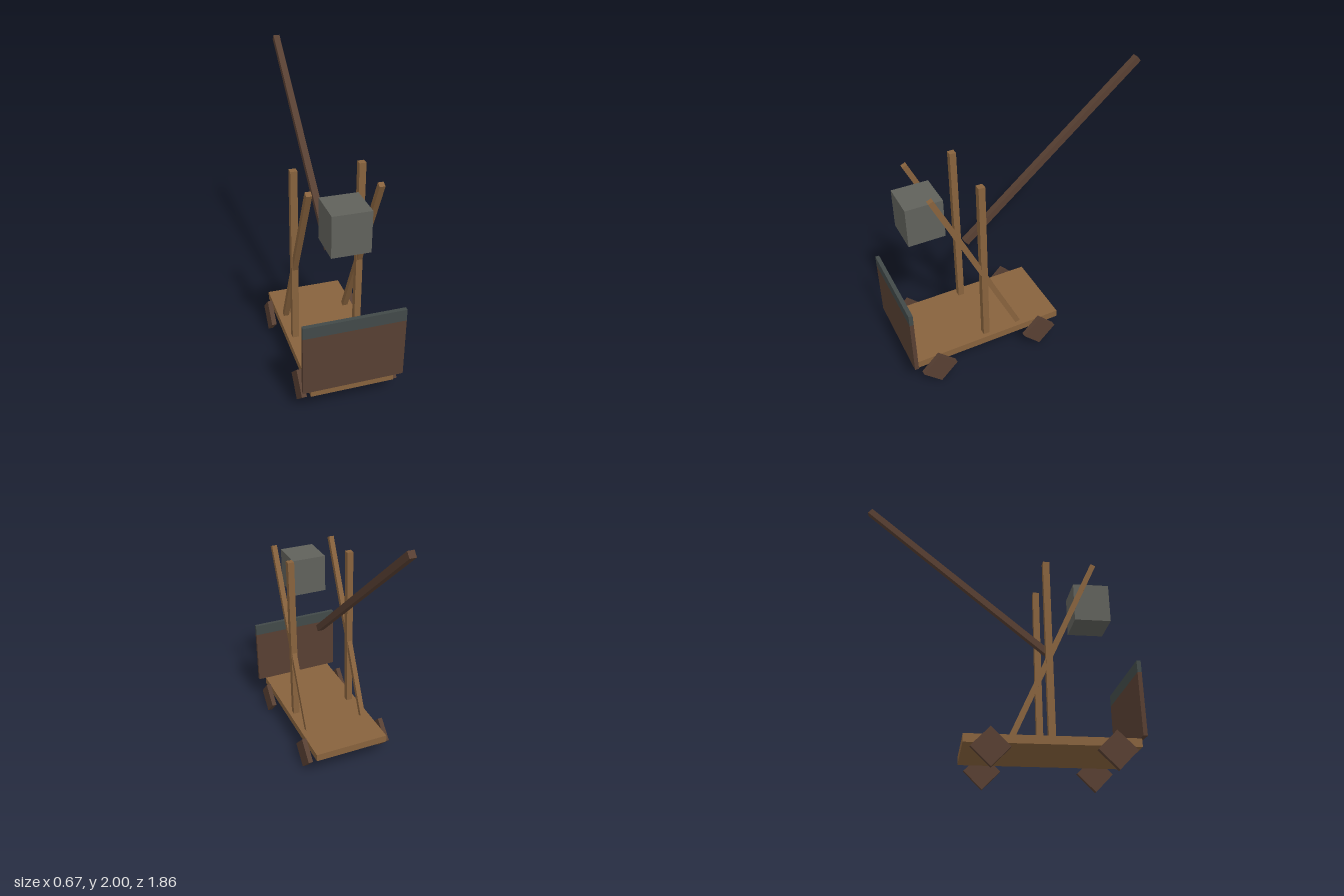
import * as THREE from 'three';

const mat = (name, color) => {
  const m = new THREE.MeshStandardMaterial({ color });
  m.name = name;
  return m;
};

export function createModel() {
  const wood = mat('wood', 0x87623d);
  const darkWood = mat('dark wood', 0x573f32);
  const stone = mat('stone', 0x60615b);
  const iron = mat('iron', 0x414948);

  const model = new THREE.Group();
  model.name = 'siegeEngine';

  // Box given by its size and centre, tilted about x
  const box = (name, material, [w, h, d], [x, y, z], tilt = 0) => {
    const mesh = new THREE.Mesh(new THREE.BoxGeometry(w, h, d), material);
    mesh.name = name;
    mesh.position.set(x, y, z);
    mesh.rotation.x = tilt;
    model.add(mesh);
  };

  const mid = 0.348; // centre of the deck along z

  box('deck', wood, [0.56, 0.055, 1.125], [0, 0.187, mid]);

  // Front shield with an iron band along the top
  box('shield', darkWood, [0.674, 0.423, 0.028], [0, 0.4275, 0.916]);
  box('shieldBand', iron, [0.674, 0.081, 0.028], [0, 0.6795, 0.916]);

  // Uprights and slanted braces, one pair each side
  for (const side of [-1, 1]) {
    const label = side > 0 ? 'left' : 'right';
    box(label + 'Upright', wood, [0.046, 1.27, 0.046], [side * 0.226, 0.848, mid]);
    box(label + 'Brace', wood, [0.037, 1.394, 0.037], [side * 0.226, 0.847, 0.388],
      THREE.MathUtils.degToRad(25));

    // Square wheels standing on a corner
    for (const [end, dz] of [['Front', 0.394], ['Back', -0.394]]) {
      const wheel = new THREE.Mesh(new THREE.CylinderGeometry(0.126, 0.126, 0.034, 4), darkWood);
      wheel.geometry = wheel.geometry.toNonIndexed();
      wheel.geometry.computeVertexNormals();
      wheel.name = label + end + 'Wheel';
      wheel.rotation.z = Math.PI / 2;
      wheel.position.set(side * 0.31, 0.126, mid + dz);
      model.add(wheel);
    }
  }

  // Throwing arm and counterweight
  box('throwingArm', darkWood, [0.045, 0.045, 1.69], [0, 1.44, -0.271],
    THREE.MathUtils.degToRad(40));
  box('counterweight', stone, [0.254, 0.28, 0.254], [0, 1.244, 0.688]);

  return model;
}
